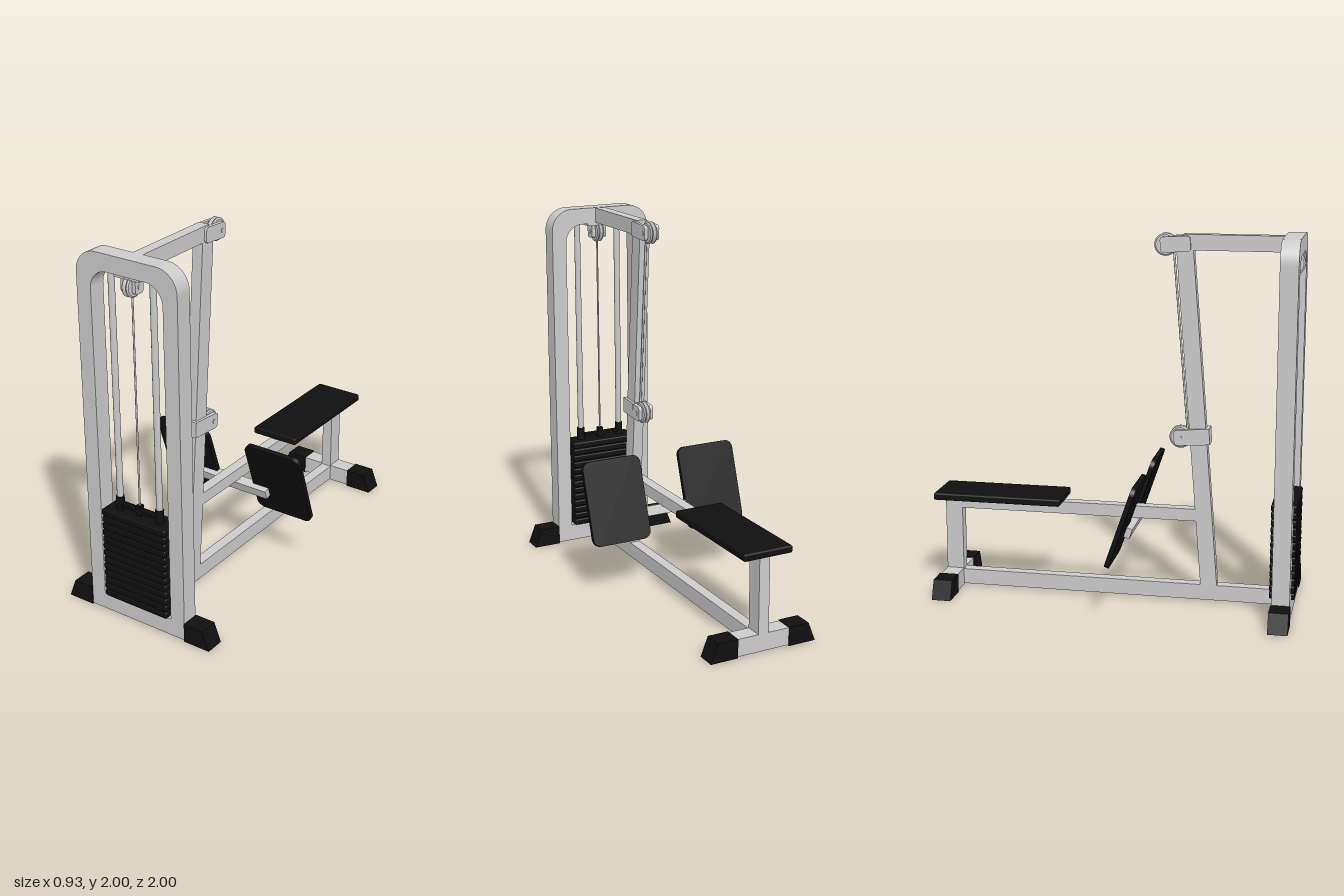
import * as THREE from 'three';
import { RoundedBoxGeometry } from 'three/addons/geometries/RoundedBoxGeometry.js';

const grey = new THREE.MeshStandardMaterial({ color: 0xcccccc });
const black = new THREE.MeshStandardMaterial({ color: 0x101010 });

export function createModel() {
  const model = new THREE.Group();

  const add = (name, geometry, material = grey, parent = model) => {
    const mesh = new THREE.Mesh(geometry, material);
    mesh.name = name;
    parent.add(mesh);
    return mesh;
  };
  // Box given by its lower and upper limits on each axis
  const box = (name, [x0, x1], [y0, y1], [z0, z1], material, parent) => {
    const g = new THREE.BoxGeometry(x1 - x0, y1 - y0, z1 - z0);
    g.translate((x0 + x1) / 2, (y0 + y1) / 2, (z0 + z1) / 2);
    return add(name, g, material, parent);
  };
  const extrude = (shape, depth) =>
    new THREE.ExtrudeGeometry(shape, { depth, bevelEnabled: false, curveSegments: 8 }).translate(0, 0, -depth / 2);
  // Outline drawn in (z, y), extruded across x
  const sideways = (shape, width) => extrude(shape, width).rotateY(-Math.PI / 2);
  const polygon = (pts) => new THREE.Shape(pts.map(([a, b]) => new THREE.Vector2(a, b)));
  // Rectangle with separate radii for the lower and upper corners
  const roundRect = (x0, y0, x1, y1, rl, ru, s = new THREE.Shape()) => {
    s.moveTo(x0 + rl, y0);
    s.lineTo(x1 - rl, y0);
    if (rl) s.absarc(x1 - rl, y0 + rl, rl, -Math.PI / 2, 0);
    s.lineTo(x1, y1 - ru);
    s.absarc(x1 - ru, y1 - ru, ru, 0, Math.PI / 2);
    s.lineTo(x0 + ru, y1);
    s.absarc(x0 + ru, y1 - ru, ru, Math.PI / 2, Math.PI);
    s.lineTo(x0, y0 + rl);
    if (rl) s.absarc(x0 + rl, y0 + rl, rl, Math.PI, Math.PI * 1.5);
    return s;
  };
  const rod = (name, a, b, radius, material) => {
    const path = new THREE.LineCurve3(new THREE.Vector3(...a), new THREE.Vector3(...b));
    return add(name, new THREE.TubeGeometry(path, 1, radius, 12), material);
  };

  // Arched upright with its bottom cross member
  const arch = roundRect(-0.3, 0.005, 0.3, 2, 0, 0.12);
  arch.holes.push(roundRect(-0.215, 0.1, 0.215, 1.91, 0, 0.1, new THREE.Path()));
  add('archFrame', extrude(arch, 0.095)).position.z = 0.935;

  // Frame beams
  const tube = [-0.03, 0.03];
  box('baseBeam', tube, [0.01, 0.095], [-0.88, 0.89]);
  box('rearCrossBar', [-0.16, 0.16], [0.005, 0.1], [-0.963, -0.868]);
  box('rearPost', tube, [0.095, 0.455], [-0.963, -0.868]);
  box('seatBeam', tube, [0.453, 0.52], [-0.963, 0.46]);
  box('topBeam', tube, [1.915, 1.998], [0.36, 0.89]);
  add('slantedPost', sideways(polygon([[0.475, 0.09], [0.565, 0.09], [0.415, 1.92], [0.325, 1.92]]), 0.06));

  // Tapered end caps of the two cross members
  for (const side of [-1, 1]) {
    for (const [x0, x1, z, name] of [[0.3, 0.455, 0.935, 'frontFoot'], [0.15, 0.305, -0.916, 'rearFoot']]) {
      const pts = [[x0, 0], [x1, 0], [x1 - 0.04, 0.104], [x0, 0.104]];
      const outline = pts.map(([x, y]) => [x * side, y]);
      add(name, extrude(polygon(outline), 0.105), black).position.z = z;
    }
  }

  // Weight stack: dark core and separate plates
  const stack = new THREE.Group();
  stack.name = 'weightStack';
  model.add(stack);
  box('stackCore', [-0.19, 0.19], [0.1, 0.61], [0.875, 0.995], black, stack);
  for (let i = 0; i < 13; i++) {
    const plate = add('weightPlate', new RoundedBoxGeometry(0.4, 0.035, 0.135, 2, 0.008), black, stack);
    plate.position.set(0, 0.12 + i * 0.04, 0.932);
  }
  box('stackYoke', [-0.11, 0.11], [0.634, 0.65], [0.92, 0.95], black, stack);
  box('cableAnchor', [-0.015, 0.015], [0.61, 0.675], [0.92, 0.95], black, stack);

  // Guide rods with collars
  for (const x of [-0.125, 0.125]) {
    rod('guideRod', [x, 0.6, 0.935], [x, 1.92, 0.935], 0.017);
    const collar = add('rodCollar', new THREE.CylinderGeometry(0.022, 0.022, 0.08, 16), black);
    collar.position.set(x, 0.65, 0.935);
  }

  // Grooved pulley wheel turning about x
  const wheelProfile = [[0, -0.02], [0.052, -0.02], [0.06, -0.014], [0.06, -0.01], [0.044, 0],
    [0.06, 0.01], [0.06, 0.014], [0.052, 0.02], [0, 0.02]].map(([r, y]) => new THREE.Vector2(r, y));
  const pulley = (name, y, z) => {
    const group = new THREE.Group();
    group.name = name;
    group.position.set(0, y, z);
    model.add(group);
    const wheel = new THREE.LatheGeometry(wheelProfile, 28).toNonIndexed();
    wheel.computeVertexNormals();
    add('pulleyWheel', wheel.rotateZ(Math.PI / 2), grey, group);
    add('pulleyAxle', new THREE.CylinderGeometry(0.012, 0.012, 0.094, 12).rotateZ(Math.PI / 2), grey, group);
    return group;
  };
  // Pair of cheek plates either side of a wheel, outline in (z, y)
  const cheeks = (group, shape) => {
    for (const x of [-0.034, 0.034]) add('pulleyCheek', sideways(shape, 0.02), grey, group).position.x = x;
  };
  const upper = pulley('upperPulley', 1.942, 0.266);
  cheeks(upper, roundRect(-0.025, -0.04, 0.135, 0.042, 0.018, 0.018));
  upper.rotation.x = -0.06;

  const lower = pulley('lowerPulley', 0.915, 0.355);
  cheeks(lower, roundRect(-0.033, -0.042, 0.08, 0.042, 0.018, 0.018));
  box('postClamp', [-0.045, 0.045], [-0.042, 0.044], [0.045, 0.16], grey, lower);
  lower.rotation.x = -0.07;

  const stackPulley = pulley('stackPulley', 1.858, 0.935);
  cheeks(stackPulley, roundRect(-0.03, -0.035, 0.03, 0.055, 0.015, 0.005));
  box('pulleyMount', [-0.075, 0.075], [0.038, 0.055], [-0.04, 0.04], grey, stackPulley);

  // Cables
  rod('stackCable', [0, 0.66, 0.935], [0, 1.86, 0.935], 0.005);
  rod('frontCable', [0, 0.915, 0.394], [0, 1.942, 0.306], 0.006);

  // Seat pad
  add('seat', new RoundedBoxGeometry(0.28, 0.04, 0.713, 2, 0.01), black).position.set(0, 0.54, -0.6425);

  // Tilted foot plates on a common cross bar
  const footRest = new THREE.Group();
  footRest.name = 'footRest';
  footRest.position.set(0, 0.515, 0.11);
  footRest.rotation.x = 0.328;
  model.add(footRest);
  box('footRestBar', [-0.22, 0.22], [-0.115, -0.06], [-0.01, 0.045], grey, footRest);
  for (const x of [-0.293, 0.293]) {
    const plate = extrude(roundRect(-0.173, -0.232, 0.173, 0.232, 0.045, 0.045), 0.025);
    add('footPlate', plate, black, footRest).position.x = x;
  }
  return model;
}
